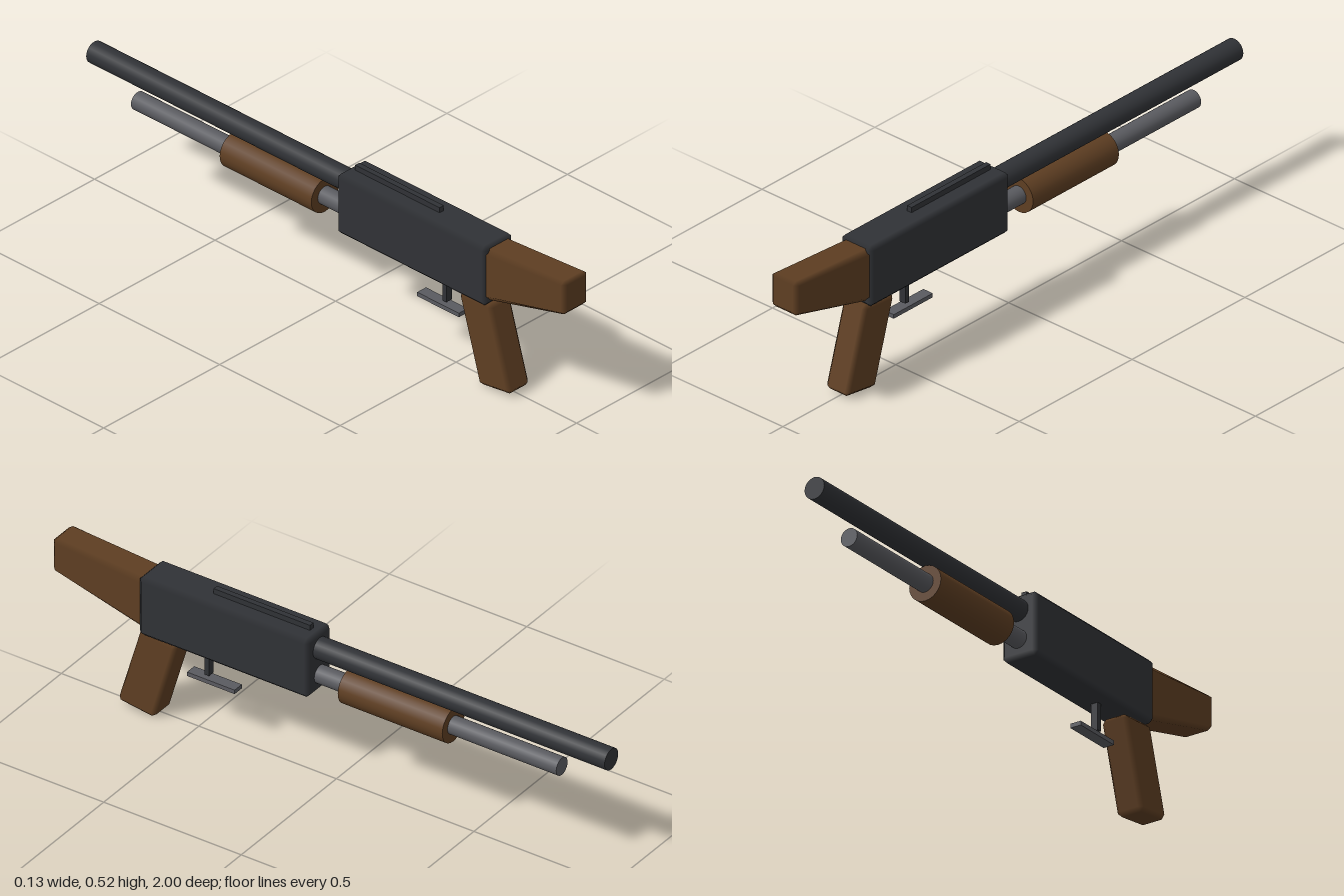
import * as THREE from 'three';
import { ConvexGeometry } from 'three/addons/geometries/ConvexGeometry.js';

const paint = (color) => new THREE.MeshStandardMaterial({ color });

// Chamfered block: a four-cornered side profile of [z, y] points, widened along x.
// Corner order: back bottom, front bottom, front top, back top (back = -z).
function chamferedBlock(corners, halfWidth, bevel) {
  const [a, b, c, d] = corners.map(([z, y]) => new THREE.Vector3(0, y, z));
  const length = (a.distanceTo(b) + c.distanceTo(d)) / 2;
  const height = (a.distanceTo(d) + b.distanceTo(c)) / 2;
  const inset = [1 - bevel / halfWidth, 1 - 2 * bevel / height, 1 - 2 * bevel / length];

  // A unit cube with every edge cut
  const points = [];
  for (const x of [-1, 1]) for (const y of [-1, 1]) for (const z of [-1, 1]) {
    for (let full = 0; full < 3; full++) {
      points.push(new THREE.Vector3(...[x, y, z].map((s, i) => (i === full ? s : s * inset[i]))));
    }
  }
  const geometry = new ConvexGeometry(points);

  // Outward normals of the profile edges
  const edgeNormal = (p, q) => new THREE.Vector3(0, p.z - q.z, q.y - p.y).normalize();
  const normals = { bottom: edgeNormal(a, b), front: edgeNormal(b, c), top: edgeNormal(c, d), back: edgeNormal(d, a) };

  // Stretch the cube over the profile; flat faces keep hard normals, chamfers blend
  const pos = geometry.attributes.position;
  const nor = geometry.attributes.normal;
  const low = new THREE.Vector3();
  const high = new THREE.Vector3();
  for (let i = 0; i < pos.count; i++) {
    const x = pos.getX(i), y = pos.getY(i), z = pos.getZ(i);
    let n;
    if (Math.abs(x) > 0.999) n = new THREE.Vector3(Math.sign(x), 0, 0);
    else if (Math.abs(y) > 0.999) n = y > 0 ? normals.top : normals.bottom;
    else n = z > 0 ? normals.front : normals.back;
    low.lerpVectors(a, b, (z + 1) / 2);
    high.lerpVectors(d, c, (z + 1) / 2);
    low.lerp(high, (y + 1) / 2);
    pos.setXYZ(i, x * halfWidth, low.y, low.z);
    nor.setXYZ(i, n.x, n.y, n.z);
  }
  return geometry;
}

// Cylinder lying along z
function rod(radius, y, z0, z1) {
  return new THREE.CylinderGeometry(radius, radius, z1 - z0, 24)
    .rotateX(Math.PI / 2).translate(0, y, (z0 + z1) / 2);
}

// Plain box from its half width and its y and z limits
function bar(halfWidth, y0, y1, z0, z1) {
  return new THREE.BoxGeometry(halfWidth * 2, y1 - y0, z1 - z0)
    .translate(0, (y0 + y1) / 2, (z0 + z1) / 2);
}

export function createModel() {
  const group = new THREE.Group();
  const dark = paint(0x303236);
  const steel = paint(0x5a5b60);
  const wood = paint(0x5e3e22);

  const add = (name, geometry, material) => {
    const mesh = new THREE.Mesh(geometry, material);
    mesh.name = name;
    group.add(mesh);
  };

  // Body and furniture
  add('receiver', chamferedBlock([[0.06, 0.295], [0.68, 0.295], [0.68, 0.505], [0.06, 0.505]], 0.064, 0.014), dark);
  add('stock', chamferedBlock([[0.66, 0.31], [1, 0.4], [1, 0.515], [0.66, 0.493]], 0.054, 0.014), wood);
  add('grip', chamferedBlock([[0.635, 0], [0.768, 0.018], [0.685, 0.3], [0.55, 0.29]], 0.047, 0.013), wood);

  // Barrel, magazine tube and sliding fore-end
  add('barrel', rod(0.036, 0.45, -1, 0.08), dark);
  add('magazineTube', rod(0.03, 0.356, -0.82, 0.08), steel);
  add('foreEnd', rod(0.058, 0.355, -0.425, -0.045), wood);

  // Sight rail, trigger and guard plate
  add('sightRail', bar(0.009, 0.495, 0.523, 0.09, 0.44), dark);
  add('trigger', bar(0.012, 0.205, 0.3, 0.455, 0.471), dark);
  add('guardPlate', bar(0.019, 0.181, 0.195, 0.357, 0.53), steel);

  return group;
}
